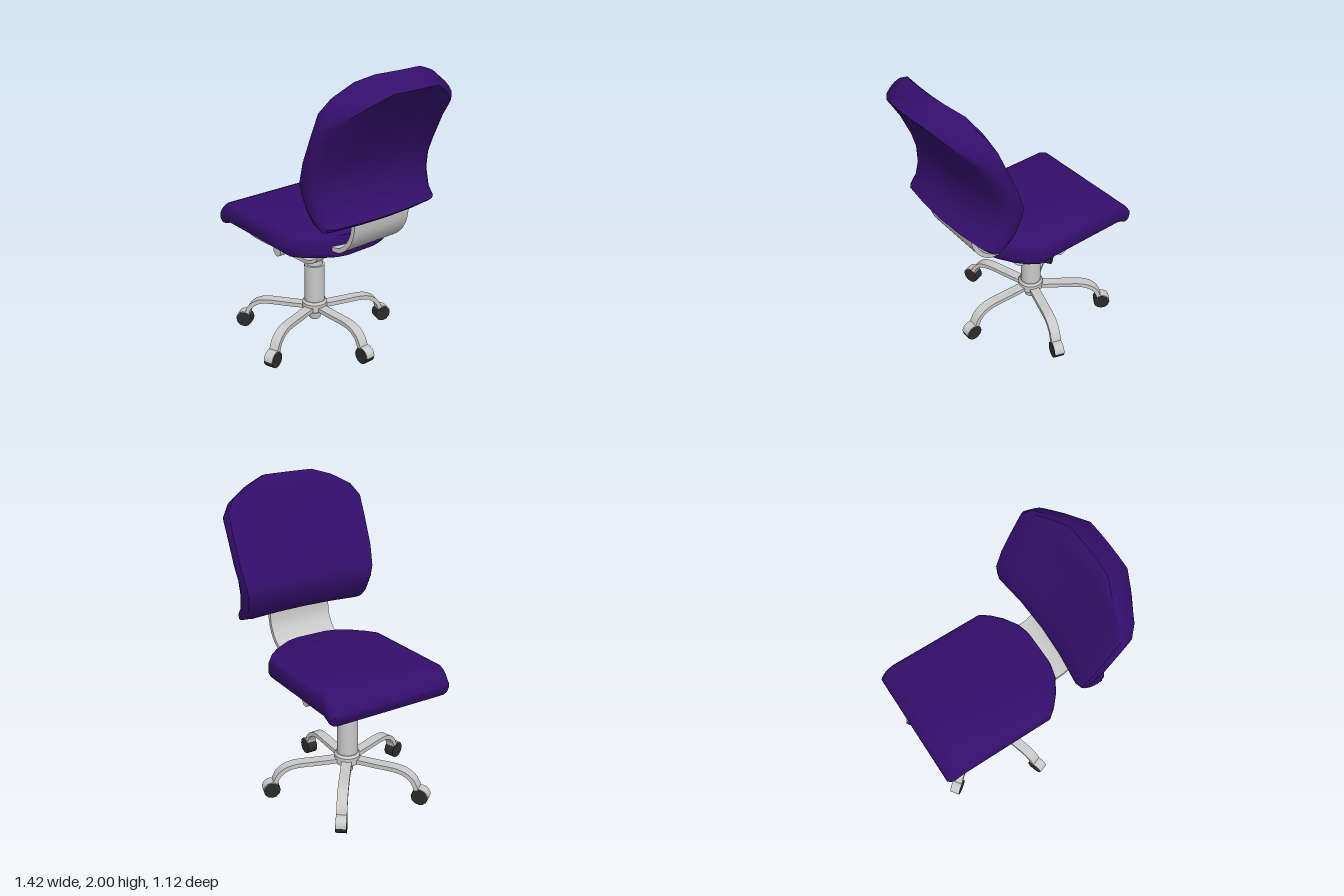
import * as THREE from 'three';
import { toCreasedNormals } from 'three/addons/utils/BufferGeometryUtils.js';

const mat = (name, color, side = THREE.FrontSide) => {
  const m = new THREE.MeshStandardMaterial({ color, side });
  m.name = name;
  return m;
};

export function createModel() {
  const model = new THREE.Group();
  model.name = 'officeChair';
  const fabric = mat('purpleFabric', 0x340f6c);
  const metal = mat('paleMetal', 0xc9c9c9);
  const rubber = mat('blackRubber', 0x2c2c2c);
  const CX = -0.2, CZ = -0.007; // column axis

  const add = (parent, name, geo, material, x = 0, y = 0, z = 0) => {
    const mesh = new THREE.Mesh(geo, material);
    mesh.name = name;
    mesh.position.set(x, y, z);
    parent.add(mesh);
    return mesh;
  };

  // closed skin through a list of equal rings, with fan caps
  const loft = (rings, crease) => {
    const n = rings[0].length, pos = rings.flat(2), idx = [];
    for (let i = 0; i < rings.length - 1; i++) {
      for (let j = 0; j < n; j++) {
        const a = i * n + j, b = i * n + (j + 1) % n;
        idx.push(a, b, a + n, b, b + n, a + n);
      }
    }
    [0, rings.length - 1].forEach((r) => {
      const c = pos.length / 3;
      for (let k = 0; k < 3; k++) pos.push(rings[r].reduce((s, p) => s + p[k], 0) / n);
      for (let j = 0; j < n; j++) {
        const a = r * n + j, b = r * n + (j + 1) % n;
        if (r) idx.push(c, a, b);
        else idx.push(c, b, a);
      }
    });
    const g = new THREE.BufferGeometry();
    g.setAttribute('position', new THREE.Float32BufferAttribute(pos, 3));
    g.setIndex(idx);
    return toCreasedNormals(g, crease);
  };

  const extrude = (shape, width) => {
    const g = new THREE.ExtrudeGeometry(shape, { depth: width, bevelEnabled: false, curveSegments: 10 });
    g.translate(0, 0, -width / 2);
    return toCreasedNormals(g, 0.6);
  };

  // bent flat bar following a side-view path
  const strap = (pts, thickness, width) => {
    const curve = new THREE.CatmullRomCurve3(pts.map(([x, y]) => new THREE.Vector3(x, y, 0)), false, 'centripetal');
    const up = [], low = [];
    for (let i = 0; i <= 28; i++) {
      const p = curve.getPoint(i / 28), t = curve.getTangent(i / 28), h = thickness / 2;
      up.push(new THREE.Vector2(p.x - t.y * h, p.y + t.x * h));
      low.unshift(new THREE.Vector2(p.x + t.y * h, p.y - t.x * h));
    }
    return extrude(new THREE.Shape([...low, ...up]), width);
  };

  // seat cushion: x, top, bottom, half width
  const seatRings = [
    [-0.712, 0.875, 0.85, 0.41], [-0.69, 0.91, 0.8, 0.425], [-0.66, 0.94, 0.8, 0.43],
    [-0.64, 0.958, 0.812, 0.43], [-0.6, 0.972, 0.825, 0.43], [-0.3, 0.96, 0.815, 0.43],
    [0.07, 0.946, 0.8, 0.43], [0.13, 0.945, 0.8, 0.385], [0.19, 0.945, 0.8, 0.32],
    [0.25, 0.945, 0.8, 0.225], [0.27, 0.945, 0.8, 0.15],
  ].map(([x, t, b, w]) => {
    const c = Math.min(0.04, (t - b) * 0.35);
    const half = [[w - c, t], [w - 0.3 * c, t - 0.3 * c], [w, t - c], [w, b + c], [w - 0.3 * c, b + 0.3 * c], [w - c, b]];
    return [...half, ...half.slice().reverse().map(([z, y]) => [-z, y])].map(([z, y]) => [x, y, z + CZ]);
  });
  add(model, 'seatCushion', loft(seatRings, 0.8), fabric);

  // backrest: front x, front y, rear x, rear y, half width
  const section = [[-0.88, 0], [-0.45, 0], [0, 0], [0.45, 0], [0.88, 0], [0.97, 0.12], [1, 0.35], [1, 0.6],
    [0.97, 0.85], [0.88, 1], [0.45, 1], [0, 1], [-0.45, 1], [-0.88, 1], [-0.97, 0.85], [-1, 0.6], [-1, 0.35], [-0.97, 0.12]];
  const backRings = [
    [0.4, 1.09, 0.5, 1.1, 0.455], [0.32, 1.12, 0.52, 1.12, 0.46], [0.27, 1.18, 0.475, 1.17, 0.467],
    [0.225, 1.29, 0.442, 1.28, 0.478], [0.225, 1.36, 0.442, 1.39, 0.49], [0.28, 1.5, 0.465, 1.48, 0.505],
    [0.36, 1.68, 0.53, 1.63, 0.507], [0.42, 1.82, 0.595, 1.74, 0.505], [0.46, 1.9, 0.632, 1.8, 0.45],
    [0.5, 1.965, 0.67, 1.86, 0.33], [0.55, 2, 0.707, 1.915, 0.2],
  ].map(([fx, fy, rx, ry, w]) => section.map(([s, u]) => {
    const hollow = 0.2 * w * w * ((1 - u) * (1 - s * s) - u * s * s);
    return [fx + (rx - fx) * u + hollow, fy + (ry - fy) * u, s * w + CZ];
  }));
  add(model, 'backrestCushion', loft(backRings, 0.8), fabric);

  // curved plate joining seat and backrest
  add(model, 'backrestBracket', strap([[0.245, 0.868], [0.31, 0.875], [0.38, 0.925], [0.425, 1], [0.44, 1.08], [0.44, 1.14]], 0.03, 0.455), metal, 0, 0, CZ);

  // column with hub, gas lift and seat cone
  const profile = [[0, 0.125], [0.036, 0.125], [0.04, 0.132], [0.04, 0.188], [0.075, 0.19], [0.087, 0.2], [0.087, 0.255],
    [0.075, 0.272], [0.07, 0.272], [0.07, 0.54], [0.055, 0.54], [0.055, 0.668], [0.09, 0.668], [0.1, 0.69], [0.148, 0.805], [0, 0.815]];
  const lathe = new THREE.LatheGeometry(profile.map(([r, y]) => new THREE.Vector2(r, y)), 28);
  add(model, 'column', toCreasedNormals(lathe, 0.6), metal, CX, 0, CZ);

  // under-seat cross bar and rails
  const bar = add(model, 'crossBar', new THREE.CylinderGeometry(0.04, 0.04, 0.635, 20), metal, CX, 0.73, CZ);
  bar.rotation.x = Math.PI / 2;
  const railPath = [[-0.615, 0.825], [-0.6, 0.785], [-0.57, 0.75], [-0.51, 0.732], [-0.2, 0.732], [0.06, 0.732], [0.12, 0.75], [0.15, 0.775], [0.165, 0.81]];
  for (const s of [-1, 1]) add(model, 'seatRail', strap(railPath, 0.024, 0.07), metal, 0, 0, CZ + s * 0.25);
  add(model, 'railTie', new THREE.BoxGeometry(0.02, 0.016, 0.5), metal, -0.613, 0.817, CZ);

  // five legs with hooded casters
  const legGeo = strap([[0.05, 0.218], [0.2, 0.218], [0.36, 0.217], [0.42, 0.2], [0.465, 0.165], [0.492, 0.115], [0.495, 0.095]], 0.03, 0.068);
  const hoodShape = new THREE.Shape();
  hoodShape.moveTo(0, 0);
  hoodShape.absarc(0, 0, 0.058, 0, 2.1, false);
  const hoodGeo = extrude(hoodShape, 0.066);
  const wheelGeo = new THREE.CylinderGeometry(0.056, 0.056, 0.07, 12);
  for (let i = 0; i < 5; i++) {
    const leg = new THREE.Group();
    leg.name = 'baseLeg';
    leg.position.set(CX, 0, CZ);
    leg.rotation.y = (i * Math.PI * 2) / 5;
    add(leg, 'legBar', legGeo, metal);
    add(leg, 'casterHood', hoodGeo, metal, 0.518, 0.058);
    add(leg, 'casterWheel', wheelGeo, rubber, 0.518, 0.056).rotation.x = Math.PI / 2;
    model.add(leg);
  }
  return model;
}
